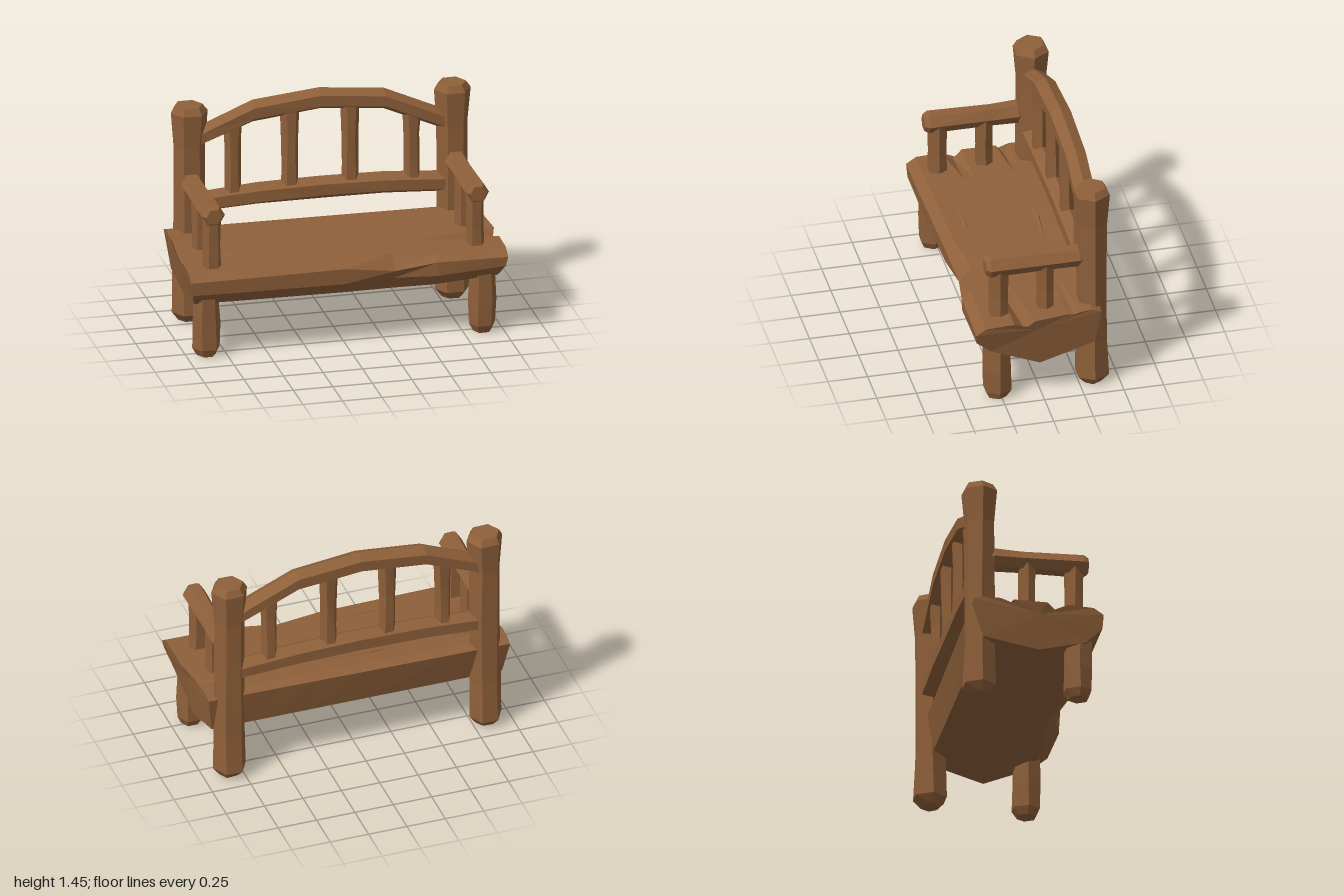
import * as THREE from 'three';

const wood = new THREE.MeshStandardMaterial({ color: 0x8f603a, flatShading: true });
wood.name = 'warm brown wood';

// Small seeded generator for the hand-hewn irregularity
let seed = 11;
function wobble(amount) {
  seed = (seed * 16807) % 2147483647;
  return (seed / 2147483647 - 0.5) * 2 * amount;
}

// Closed solid through equal-length rings of [x, y, z], capped at both ends
function loft(name, rings) {
  const n = rings[0].length;
  const tris = [];
  const mid = ring => [0, 1, 2].map(k => ring.reduce((s, p) => s + p[k], 0) / n);
  for (let i = 0; i < rings.length - 1; i++) {
    for (let j = 0; j < n; j++) {
      const k = (j + 1) % n;
      const a = rings[i][j], b = rings[i][k], c = rings[i + 1][k], d = rings[i + 1][j];
      tris.push([a, b, c], [a, c, d]);
    }
  }
  const first = rings[0], last = rings[rings.length - 1];
  const m0 = mid(first), m1 = mid(last);
  for (let j = 0; j < n; j++) {
    const k = (j + 1) % n;
    tris.push([m0, first[k], first[j]], [m1, last[j], last[k]]);
  }
  // Turn every face outward if the rings run the other way round
  let volume = 0;
  for (const [a, b, c] of tris) {
    const [p, q, r] = [a, b, c].map(v => new THREE.Vector3(...v));
    volume += p.dot(q.cross(r));
  }
  if (volume < 0) tris.forEach(t => t.reverse());
  const geometry = new THREE.BufferGeometry();
  geometry.setAttribute('position', new THREE.Float32BufferAttribute(tris.flat(2), 3));
  geometry.computeVertexNormals();
  const mesh = new THREE.Mesh(geometry, wood);
  mesh.name = name;
  return mesh;
}

// Six-sided ring: u and v are the half sizes across and along the corners
function hexagon(u, v, place, rough = 0) {
  return Array.from({ length: 6 }, (_, i) => {
    const a = (i * Math.PI) / 3;
    return place(Math.cos(a) * u + wobble(rough), (Math.sin(a) * v) / 0.866 + wobble(rough));
  });
}

// Upright timber; sections are [y, half width in x, half depth in z]
function upright(name, x, z, sections, rough = 0.004) {
  return loft(name, sections.map(([y, u, v]) =>
    hexagon(u, v, (a, b) => [x + a, y, z + b], rough)));
}

// Back rail; stations are [x, y of the centre, half height]
function rail(name, stations) {
  return loft(name, stations.map(([x, y, h]) =>
    hexagon(h, 0.064, (a, b) => [x, y + a, -0.333 + b], 0.002)));
}

const seatTop = z => 0.565 + (0.37 - z) * 0.05;

// Seat outline at one x; keel is the lowest edge, notches dip the top edge
function seatRing({ x, front, chip = 0, low, keel, back, pull = 0, notchA = 0, notchB = 0 }) {
  const side = Math.sign(x);
  const at = (z, y, inset = 0) => [x - side * inset, y, z];
  return [
    at(front, 0.525 - chip * 0.8),
    at(front - 0.062 - chip * 0.3, 0.567),
    at(0.19, seatTop(0.19)),
    at(0.12, seatTop(0.12) - notchA, notchA * 0.4),
    at(0.06, seatTop(0.06)),
    at(-0.15, seatTop(-0.15), pull * 0.3),
    at(-0.19, seatTop(-0.19) - notchB, pull * 0.3 + notchB * 0.5),
    at(-0.23, seatTop(-0.23), pull * 0.3),
    at(back + 0.06, 0.6, pull * 0.4),
    at(back, 0.58, pull * 0.4),
    at(-0.33, 0.345, pull * 0.9),
    at(0.015, keel, pull),
    at(front - 0.1, low - 0.06, pull * 0.7),
    at(front - 0.005 - chip * 0.5, low + 0.03, pull * 0.25),
  ];
}

function buildSeat() {
  return loft('seat', [
    { x: -1.0, front: 0.41, low: 0.41, keel: 0.285, back: -0.395, pull: 0.06, notchA: 0.045, notchB: 0.05 },
    { x: -0.67, front: 0.408, low: 0.405, keel: 0.275, back: -0.39 },
    { x: -0.02, front: 0.395, low: 0.395, keel: 0.262, back: -0.38 },
    { x: 0.3, front: 0.378, chip: 0.06, low: 0.39, keel: 0.252, back: -0.375 },
    { x: 0.56, front: 0.422, low: 0.405, keel: 0.243, back: -0.37 },
    { x: 1.0, front: 0.43, low: 0.435, keel: 0.237, back: -0.365, pull: 0.06, notchA: 0.06, notchB: 0.01 },
  ].map(seatRing));
}

// Low raised splinter on the seat, as a narrow wedge between two tips
function splinter(x0, z0, x1, z1, peakX, peakZ) {
  const tip = (x, z) => Array(3).fill([x, seatTop(z) - 0.002, z]);
  const s = (peakX - x0) / (x1 - x0);
  const baseZ = z0 + (z1 - z0) * s;
  return loft('splinter', [
    tip(x0, z0),
    [[peakX, seatTop(baseZ) - 0.01, baseZ + 0.012],
      [peakX, seatTop(peakZ) + 0.009, peakZ + 0.012],
      [peakX, seatTop(peakZ) - 0.01, peakZ]],
    tip(x1, z1),
  ]);
}

export function createModel() {
  seed = 11;
  const bench = new THREE.Group();
  bench.name = 'rustic bench';

  bench.add(buildSeat());
  bench.add(splinter(-0.33, -0.19, 0.33, -0.18, -0.13, -0.235));
  bench.add(splinter(-0.65, 0.255, 0, 0.23, -0.2, 0.212));

  for (const s of [-1, 1]) {
    const side = s > 0 ? 'left' : 'right';

    // Tall back posts with flared, bevelled heads
    bench.add(upright(side + 'BackPost', s * 0.833, -0.335, [
      [0, 0.065, 0.05], [0.055, 0.105, 0.097], [0.32, 0.1, 0.086], [0.75, 0.098, 0.084],
      [1.15, 0.1, 0.086], [1.365, 0.117, 0.1], [1.408, 0.09, 0.076]]));

    // Short front legs
    bench.add(upright(side + 'FrontLeg', s * 0.872, 0.272, [
      [0, 0.06, 0.055], [0.05, 0.086, 0.08], [0.2, 0.088, 0.078], [0.42, 0.078, 0.076]]));

    // Armrest with a blunt front end and a tapered back end
    bench.add(loft(side + 'Armrest', [
      [0.34, 0.05, 0.045, 0.92], [0.31, 0.072, 0.062, 0.92], [-0.08, 0.066, 0.058, 0.917],
      [-0.25, 0.07, 0.061, 0.918], [-0.315, 0.03, 0.02, 0.916],
    ].map(([z, u, v, y]) => hexagon(u, v, (a, b) => [s * 0.835 + a, y + b, z], 0.002))));

    // Armrest supports
    for (const [name, z, d] of [['Front', 0.252, 0.056], ['Rear', -0.04, 0.05]]) {
      bench.add(upright(side + name + 'ArmSupport', s * 0.832, z, [
        [0.52, 0.06, d], [0.7, 0.055, d * 0.94], [0.92, 0.058, d]], 0.003));
    }
  }

  // Arched top rail and gently bowed lower rail
  bench.add(rail('topRail', [
    [-0.82, 1.165, 0.062], [-0.74, 1.21, 0.066], [-0.43, 1.335, 0.072], [-0.01, 1.38, 0.07],
    [0.4, 1.34, 0.068], [0.76, 1.18, 0.064], [0.82, 1.14, 0.06]]));
  bench.add(rail('lowerRail', [
    [-0.8, 0.765, 0.066], [-0.4, 0.79, 0.07], [0, 0.794, 0.073],
    [0.4, 0.788, 0.07], [0.8, 0.762, 0.066]]));

  // Back spindles, slightly waisted
  [[-0.555, 1.27], [-0.195, 1.34], [0.185, 1.34], [0.575, 1.25]].forEach(([x, top], i) => {
    bench.add(upright('backSpindle' + (i + 1), x, -0.333, [
      [0.79, 0.056, 0.048], [0.93, 0.052, 0.044], [1.1, 0.05, 0.044], [top, 0.061, 0.05]], 0.004));
  });

  return bench;
}
